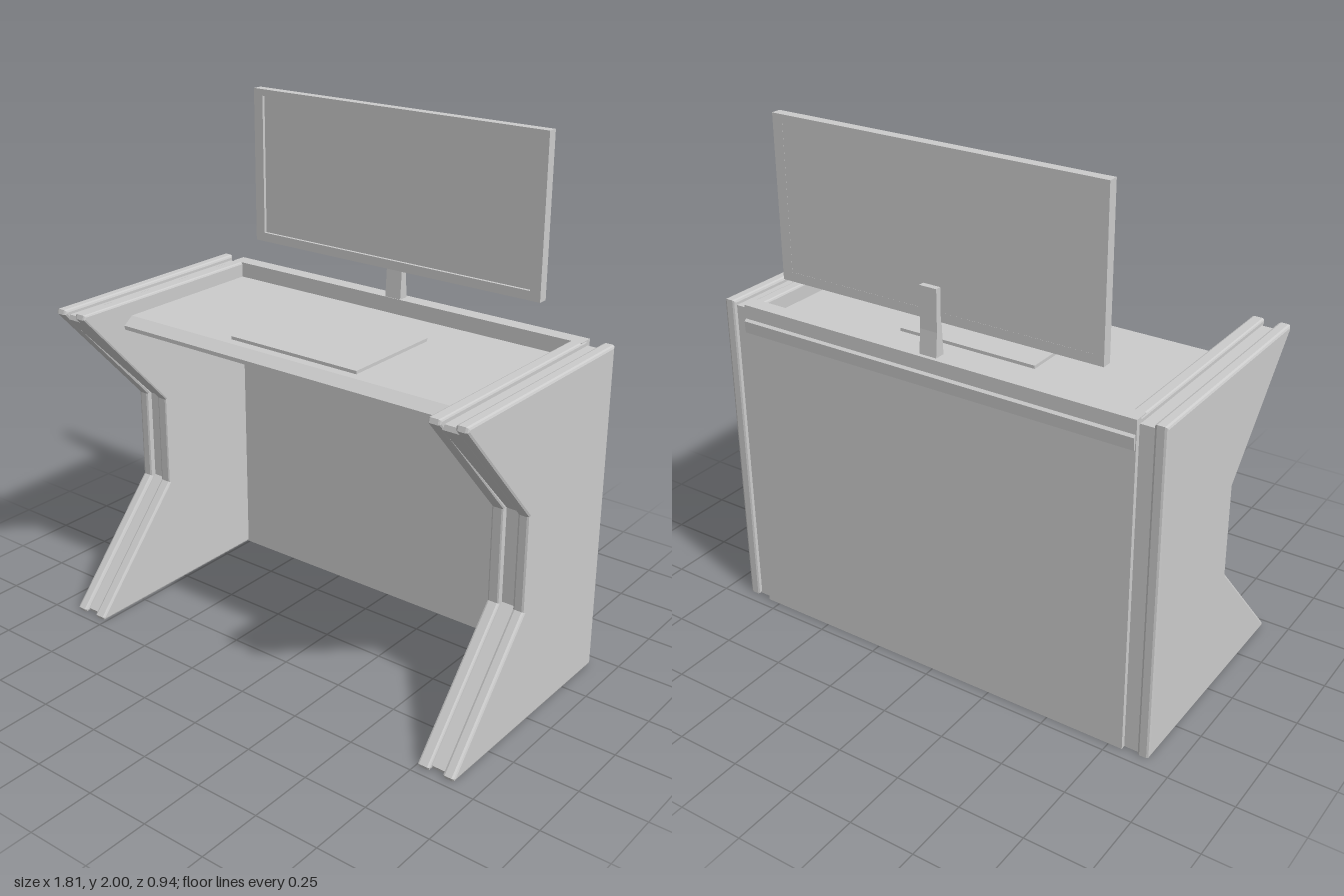
import * as THREE from 'three';

const material = new THREE.MeshStandardMaterial({ color: 0xcccccc });

// Extrudes a (z, y) outline along x, from x0 to x1, with an optional bevel.
function slab(name, points, x0, x1, bevel = 0, holes = []) {
  const shape = new THREE.Shape(points.map(([z, y]) => new THREE.Vector2(z, y)));
  const geometry = new THREE.ExtrudeGeometry(shape, {
    depth: x1 - x0 - 2 * bevel,
    bevelEnabled: bevel > 0,
    bevelSize: bevel,
    bevelThickness: bevel,
    bevelOffset: -bevel,
    bevelSegments: 2,
  });
  geometry.rotateY(-Math.PI / 2);
  geometry.translate(x1 - bevel, 0, 0);
  const mesh = new THREE.Mesh(geometry, material);
  mesh.name = name;
  return mesh;
}

// Box given by its lower and upper corners.
function box(name, [x0, y0, z0], [x1, y1, z1]) {
  const geometry = new THREE.BoxGeometry(x1 - x0, y1 - y0, z1 - z0);
  geometry.translate((x0 + x1) / 2, (y0 + y1) / 2, (z0 + z1) / 2);
  const mesh = new THREE.Mesh(geometry, material);
  mesh.name = name;
  return mesh;
}

// Notched leg outline: wide at the foot and the top, narrow in the middle.
function legOutline(back, inset) {
  const tip = 0.47 - inset, waist = 0.07 - inset, top = 1.28 - inset;
  return [
    [back, 0.005], [tip - 0.005, 0.005], [tip, 0.018], [waist, 0.465],
    [waist, 0.825], [tip, top - 0.018], [tip - 0.005, top], [back, top],
  ];
}

export function createModel() {
  const model = new THREE.Group();
  model.name = 'deskWithScreen';

  // Side panels: two plates with a recessed core between them
  for (const side of [-1, 1]) {
    const panel = new THREE.Group();
    panel.name = side > 0 ? 'leftSidePanel' : 'rightSidePanel';
    const layer = (name, a, b, back, inset, bevel) => panel.add(
      slab(name, legOutline(back, inset), Math.min(side * a, side * b), Math.max(side * a, side * b), bevel));
    layer('outerPlate', 0.858, 0.905, -0.455, 0, 0.01);
    layer('recessedCore', 0.795, 0.865, -0.442, 0.02, 0);
    layer('innerPlate', 0.757, 0.805, -0.44, 0, 0.008);
    model.add(panel);
  }

  // Back panel with a rail along its rear
  model.add(box('backPanel', [-0.803, 0.005, -0.46], [0.803, 1.28, -0.4]));
  model.add(slab('rearRail', [[-0.45, 1.17], [-0.467, 1.175], [-0.47, 1.22], [-0.45, 1.235]].reverse(), -0.8, 0.8));

  // Desktop with a sloped front edge, and a thin pad on it
  model.add(slab('desktop', [[-0.41, 1.175], [0.27, 1.175], [0.27, 1.19], [0.23, 1.22], [-0.41, 1.22]], -0.765, 0.765));
  model.add(box('deskPad', [-0.285, 1.215, -0.225], [0.28, 1.232, 0.195]));

  // Tapered screen stand
  model.add(slab('screenStand', [
    [-0.445, 1.27], [-0.402, 1.27], [-0.41, 1.4], [-0.413, 1.525], [-0.436, 1.525], [-0.437, 1.37],
  ], -0.037, 0.032));

  // Screen: frame with an opening and a recessed display
  const screen = new THREE.Group();
  screen.name = 'screen';
  const outline = new THREE.Shape([[-0.655, 1.4], [0.645, 1.4], [0.645, 2], [-0.655, 2]].map(p => new THREE.Vector2(...p)));
  outline.holes.push(new THREE.Path([[-0.613, 1.435], [-0.613, 1.975], [0.603, 1.975], [0.603, 1.435]].map(p => new THREE.Vector2(...p))));
  const frame = new THREE.Mesh(new THREE.ExtrudeGeometry(outline, { depth: 0.038, bevelEnabled: false }), material);
  frame.name = 'screenFrame';
  frame.position.z = -0.414;
  screen.add(frame, box('display', [-0.62, 1.43, -0.4135], [0.61, 1.98, -0.388]));
  model.add(screen);

  return model;
}
